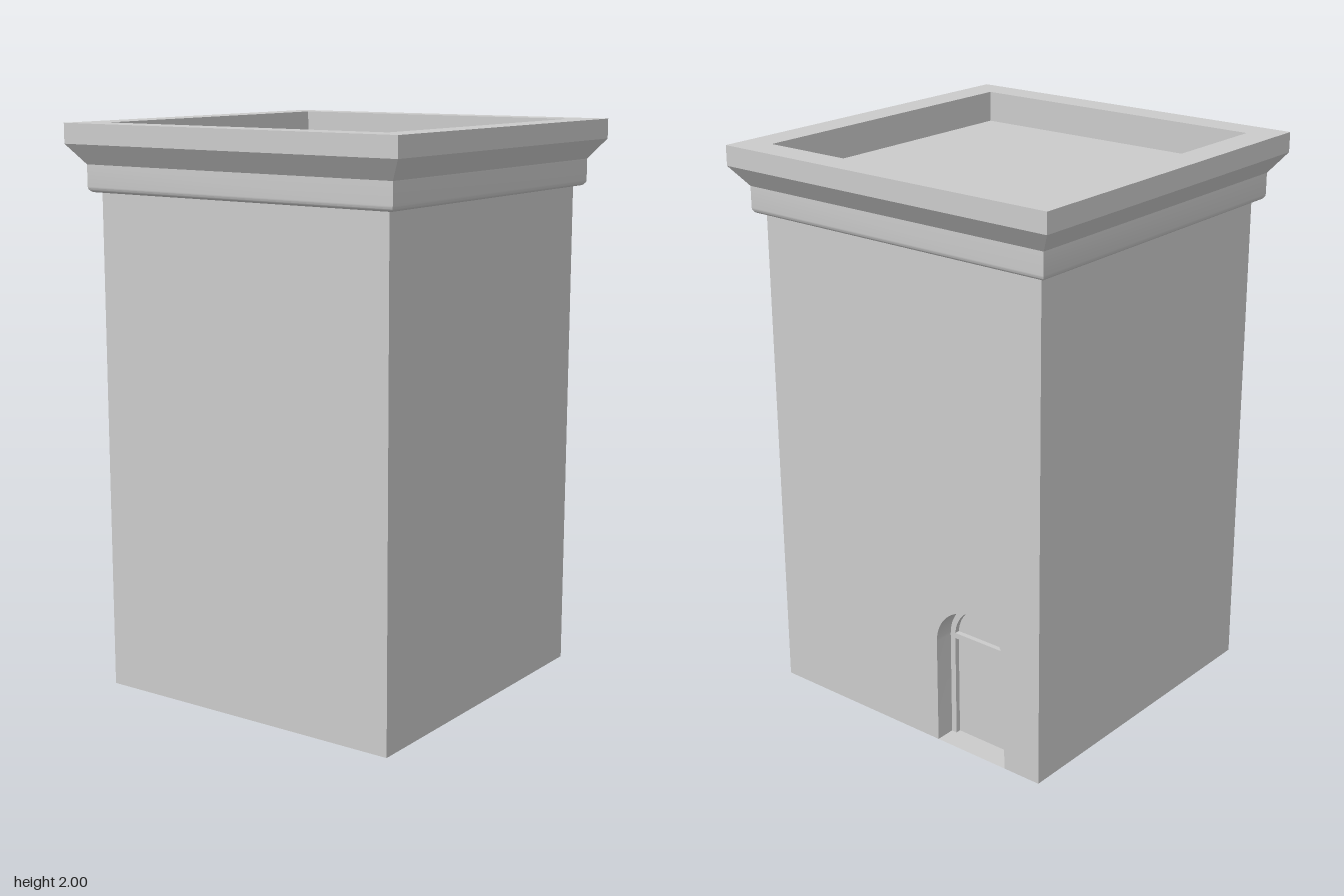
import * as THREE from 'three';
import { toCreasedNormals } from 'three/addons/utils/BufferGeometryUtils.js';

const W = 0.588;          // half width of the tower
const WALL_TOP = 1.77;
const DOOR_U = 0.293;     // door centre, along the wall
const R = 0.148, SPRING = 0.385, DEPTH = 0.09;
const FRAME = 0.021, FRAME_DEPTH = 0.018;

// Square ring swept from a [halfWidth, y] profile
function squareLathe(profile) {
  const pts = profile.map(([w, y]) => new THREE.Vector2(w * Math.SQRT2, y));
  return toCreasedNormals(new THREE.LatheGeometry(pts, 4, Math.PI / 4), 0.5);
}

function archShape(r) {
  const s = new THREE.Shape();
  s.moveTo(-r, 0);
  s.lineTo(r, 0);
  s.lineTo(r, SPRING);
  s.absarc(0, SPRING, r, 0, Math.PI, false);
  s.closePath();
  return s;
}

export function createModel() {
  const model = new THREE.Group();
  const grey = new THREE.MeshStandardMaterial({ color: 0xcccccc });
  const thin = new THREE.MeshStandardMaterial({ color: 0xcccccc, side: THREE.DoubleSide });
  const add = (parent, name, geometry, material = grey) => {
    const mesh = new THREE.Mesh(geometry, material);
    mesh.name = name;
    parent.add(mesh);
    return mesh;
  };

  // Three plain walls, open underneath
  [['frontWall', 0], ['backWall', Math.PI], ['leftWall', -Math.PI / 2]].forEach(([name, a]) => {
    const g = new THREE.PlaneGeometry(2 * W, WALL_TOP).translate(0, WALL_TOP / 2, W);
    // the plain side wall is the one opposite the doorway
    add(model, a === -Math.PI / 2 ? 'plainSideWall' : name, g, thin).rotation.y = a;
  });

  // Wall with the arched doorway cut out of its lower edge
  const side = new THREE.Group();
  side.name = 'doorSide';
  side.rotation.y = Math.PI / 2;
  model.add(side);
  const wall = new THREE.Shape();
  wall.moveTo(-W, 0);
  wall.lineTo(DOOR_U - R, 0);
  wall.lineTo(DOOR_U - R, SPRING);
  wall.absarc(DOOR_U, SPRING, R, Math.PI, 0, true);
  wall.lineTo(DOOR_U + R, 0);
  wall.lineTo(W, 0);
  wall.lineTo(W, WALL_TOP);
  wall.lineTo(-W, WALL_TOP);
  wall.closePath();
  add(side, 'doorWall', new THREE.ShapeGeometry(wall, 24), thin);
  side.children[0].position.z = W;

  const door = new THREE.Group();
  door.name = 'doorway';
  door.position.set(DOOR_U, 0, W);
  side.add(door);

  // Reveal: a strip bent round the arch outline, threshold included
  const outline = archShape(R).getPoints(24);
  const strip = new THREE.PlaneGeometry(1, 1, outline.length - 1, 1);
  const pos = strip.attributes.position;
  for (let i = 0; i < pos.count; i++) {
    const p = outline[i % outline.length];
    pos.setXYZ(i, p.x, p.y, i < outline.length ? 0 : -DEPTH);
  }
  add(door, 'doorReveal', toCreasedNormals(strip, 0.5), thin);

  // Door leaf and fanlight panel
  add(door, 'doorPanel', new THREE.ShapeGeometry(archShape(R), 24), thin).position.z = -DEPTH;

  // Frame with a transom between the door and the fanlight
  const r = R - FRAME, transomLow = 0.375, a = Math.asin(0.01 / r);
  const frame = new THREE.Shape();
  frame.moveTo(-R, 0);
  frame.lineTo(-r, 0);
  frame.lineTo(-r, transomLow);
  frame.lineTo(r, transomLow);
  frame.lineTo(r, 0);
  frame.lineTo(R, 0);
  frame.lineTo(R, SPRING);
  frame.absarc(0, SPRING, R, 0, Math.PI, false);
  frame.closePath();
  const fanlight = new THREE.Path();
  fanlight.absarc(0, SPRING, r, a, Math.PI - a, false);
  fanlight.closePath();
  frame.holes.push(fanlight);
  const frameGeo = new THREE.ExtrudeGeometry(frame, { depth: FRAME_DEPTH, bevelEnabled: false, curveSegments: 24 });
  add(door, 'doorFrame', toCreasedNormals(frameGeo, 0.5)).position.z = -DEPTH;

  // Cornice: rounded lower edge, band, sloped moulding, rim and inner parapet
  const profile = [[W, 1.765]];
  const bead = 0.02;
  for (let i = 0; i <= 6; i++) {
    const t = (i / 6) * Math.PI / 2;
    profile.push([0.623 - bead + bead * Math.sin(t), 1.765 + bead - bead * Math.cos(t)]);
  }
  profile.push([0.623, 1.86], [0.675, 1.93], [0.675, 2], [0.568, 2], [0.568, 1.89]);
  add(model, 'cornice', squareLathe(profile));

  // Sunken roof
  add(model, 'roof', new THREE.PlaneGeometry(1.136, 1.136).rotateX(-Math.PI / 2), thin).position.y = 1.89;

  return model;
}
